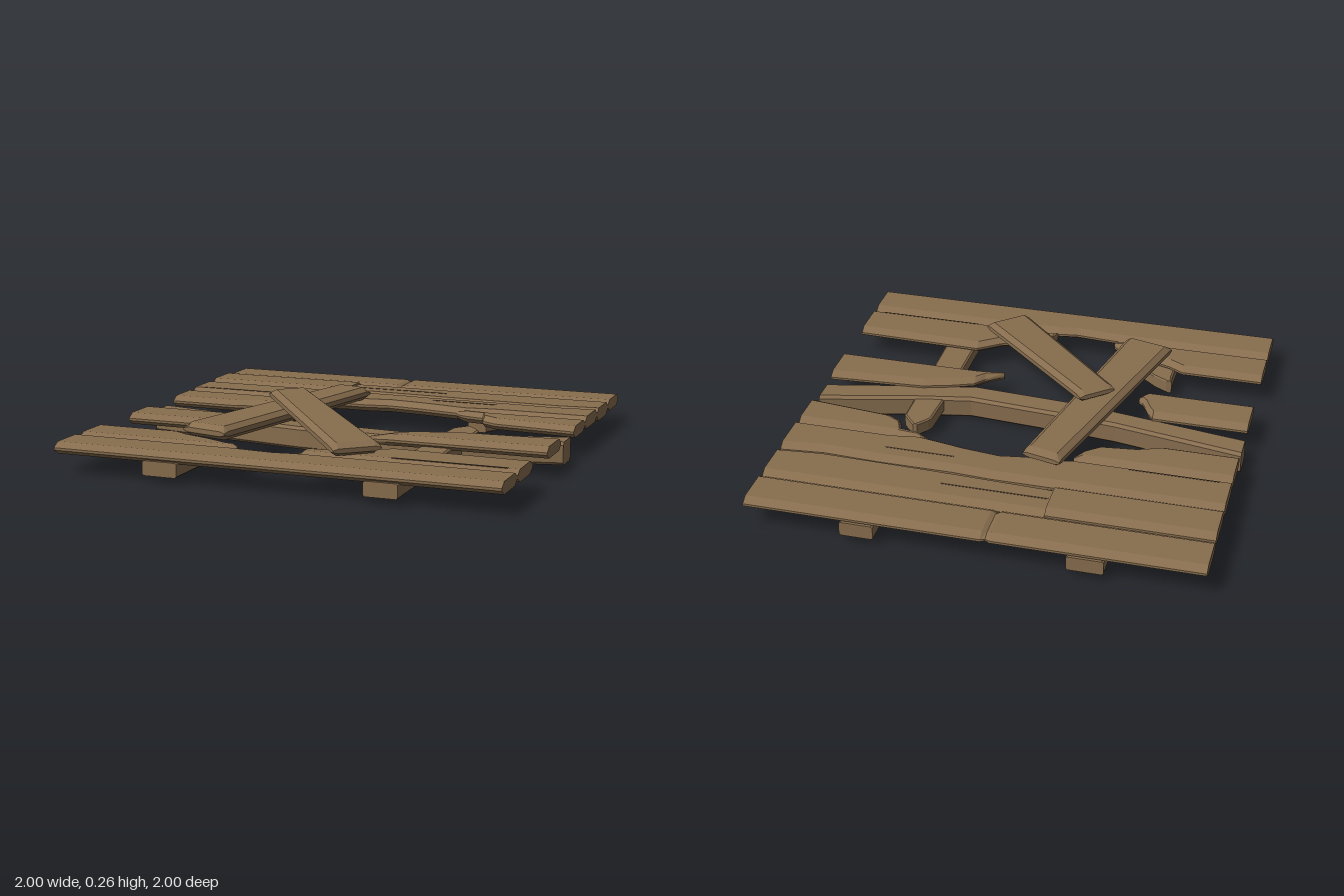
import * as THREE from 'three';

const wood = new THREE.MeshStandardMaterial({ color: 0x876d4e, flatShading: true });
wood.name = 'weathered wood';
const dark = new THREE.MeshStandardMaterial({ color: 0x54422e });
dark.name = 'dark wood crack';

// Bevelled timber along x. Each station is [x, zBack, zFront, thickness factor].
function timber(stations, y0, y1, bevel, rise) {
  const mid = (y0 + y1) / 2;
  const rings = stations.map(([x, z0, z1, f = 1]) => {
    const h = ((y1 - y0) / 2) * f;
    const c = Math.min(bevel, (z1 - z0) * 0.4);
    const s = h * (1 - rise);
    return [
      [x, mid - s, z0], [x, mid + s, z0], [x, mid + h, z0 + c], [x, mid + h, z1 - c],
      [x, mid + s, z1], [x, mid - s, z1], [x, mid - h, z1 - c], [x, mid - h, z0 + c],
    ];
  });
  const pos = [];
  const tri = (a, b, c) => pos.push(...a, ...b, ...c);
  for (let i = 0; i < rings.length - 1; i++) {
    for (let k = 0; k < 8; k++) {
      const n = (k + 1) % 8;
      const [a, b, c, d] = [rings[i][k], rings[i][n], rings[i + 1][k], rings[i + 1][n]];
      tri(a, b, c);
      tri(b, d, c);
    }
  }
  const first = rings[0], last = rings[rings.length - 1];
  for (let k = 1; k < 7; k++) {
    tri(first[0], first[k + 1], first[k]);
    tri(last[0], last[k], last[k + 1]);
  }
  const g = new THREE.BufferGeometry();
  g.setAttribute('position', new THREE.Float32BufferAttribute(pos, 3));
  g.computeVertexNormals();
  return g;
}

export function createModel() {
  const model = new THREE.Group();
  model.name = 'brokenPlankFloor';
  const add = (name, geometry, material = wood) => {
    const m = new THREE.Mesh(geometry, material);
    m.name = name;
    model.add(m);
    return m;
  };
  const plank = (name, stations, y0 = 0.083, y1 = 0.137) =>
    add(name, timber(stations, y0, y1, 0.035, 0.8));

  // Back rows, mostly whole
  plank('backPlankLeft', [[-1, -1, -0.78], [-0.09, -1, -0.78], [-0.07, -0.99, -0.79, 0.7]]);
  plank('backPlankRight', [[-0.07, -0.99, -0.79, 0.7], [-0.05, -1, -0.78], [1, -1, -0.78]]);
  plank('secondPlankLeft', [[-1, -0.78, -0.56], [-0.27, -0.78, -0.56]], 0.092, 0.148);
  plank('secondPlankRight', [[-0.27, -0.78, -0.57], [0.3, -0.78, -0.55], [0.8, -0.78, -0.54],
    [1, -0.78, -0.56]], 0.075, 0.137);

  // Rows broken around the hole
  plank('thirdPlank', [[-1, -0.56, -0.33], [-0.3, -0.56, -0.33], [-0.2, -0.56, -0.35], [-0.09, -0.56, -0.35],
    [0.03, -0.56, -0.37], [0.2, -0.55, -0.35], [0.42, -0.55, -0.31], [0.55, -0.55, -0.33],
    [0.8, -0.54, -0.33], [1, -0.56, -0.33]], 0.083, 0.142);
  plank('fourthPlankLeft', [[-1, -0.33, -0.12], [-0.66, -0.33, -0.12], [-0.55, -0.33, -0.16],
    [-0.39, -0.33, -0.18], [-0.33, -0.33, -0.23], [-0.29, -0.33, -0.3, 0.6]]);
  plank('fourthPlankRight', [[0.39, -0.34, -0.31, 0.6], [0.44, -0.33, -0.28], [0.53, -0.33, -0.26],
    [0.55, -0.33, -0.2], [0.62, -0.33, -0.16], [1, -0.33, -0.12]]);
  plank('fifthPlankLeft', [[-1, 0.11, 0.33], [-0.56, 0.11, 0.33], [-0.54, 0.14, 0.33],
    [-0.51, 0.2, 0.33], [-0.49, 0.235, 0.29], [-0.47, 0.255, 0.265, 0.6]]);
  plank('fifthPlankRight', [[0.2, 0.32, 0.335, 0.6], [0.28, 0.26, 0.33], [0.32, 0.21, 0.33],
    [0.42, 0.17, 0.33], [0.55, 0.13, 0.33], [1, 0.1, 0.33]]);
  plank('sixthPlankLeft', [[-1, 0.56, 0.78], [-0.62, 0.56, 0.78], [-0.55, 0.6, 0.78], [-0.43, 0.64, 0.78],
    [-0.32, 0.69, 0.78], [-0.28, 0.7, 0.775], [-0.25, 0.735, 0.755, 0.6]]);
  plank('sixthPlankRight', [[0.045, 0.75, 0.78, 0.6], [0.06, 0.67, 0.78], [0.17, 0.66, 0.78],
    [0.29, 0.62, 0.78], [0.4, 0.54, 0.78], [1, 0.555, 0.78]]);
  plank('frontPlank', [[-1, 0.78, 1], [-0.25, 0.78, 1], [-0.05, 0.795, 1], [0.05, 0.78, 1], [1, 0.78, 1]]);

  // Sagging cross beam, cracked and bent toward the front
  add('bentBeam', timber([[-1, -0.07, 0.06], [-0.4, 0.035, 0.155], [-0.2, 0.055, 0.185], [0.3, 0.09, 0.215],
    [0.55, 0.04, 0.165], [1, -0.07, 0.06]], 0, 0.105, 0.015, 0.25));

  // Snapped joists under the planks: x centre, then stations along z
  const joist = (name, x, stations) => {
    const g = timber(stations, 0.03, 0.095, 0.008, 0.2);
    g.rotateY(-Math.PI / 2);
    add(name, g).position.x = x;
  };
  joist('rightFrontJoist', 0.495, [[-0.17, -0.01, 0.01], [-0.12, -0.055, 0.05], [-0.1, -0.07, 0.06],
    [0.1, -0.07, 0.07], [1, -0.075, 0.075]]);
  joist('rightBackJoist', 0.495, [[-1, -0.075, 0.075], [-0.42, -0.075, 0.075], [-0.34, -0.03, 0.06]]);
  joist('leftFrontJoist', -0.495, [[0.5, 0.06, 0.085], [0.54, -0.01, 0.08], [0.6, -0.08, 0.08], [1, -0.08, 0.08]]);
  joist('leftBackJoist', -0.495, [[-1, -0.08, 0.08], [-0.28, -0.08, 0.08], [-0.2, -0.05, 0.03]]);

  // Loose planks lying across the hole, from the back end to the front end
  const loose = (name, from, to, w0, w1, t) => {
    const d = new THREE.Vector3().subVectors(to, from);
    const half = d.length() / 2;
    const e = 0.03;
    const m = add(name, timber([[-half, -w0, w0, 0.35], [-half + e, -w0, w0],
      [half - e, -w1, w1], [half, -w1, w1, 0.35]], -t / 2, t / 2, 0.025, 0.65));
    m.position.addVectors(from, to).multiplyScalar(0.5);
    m.rotation.order = 'YZX';
    m.rotation.y = -Math.atan2(d.z, d.x);
    m.rotation.z = Math.atan2(d.y, Math.hypot(d.x, d.z));
  };
  loose('flatLoosePlank', new THREE.Vector3(-0.165, 0.168, -0.42), new THREE.Vector3(-0.435, 0.168, 0.695),
    0.09, 0.115, 0.062);
  loose('leaningLoosePlank', new THREE.Vector3(-0.31, 0.236, 0.065), new THREE.Vector3(0.305, 0.162, 0.76),
    0.09, 0.108, 0.058);

  // Thin cracks in the grain: x, y, z, length, width
  for (const [x, y, z, l, w] of [
    [-0.02, 0.137, -0.67, 0.48, 0.007], [0.38, 0.142, -0.46, 0.32, 0.006],
    [-0.75, 0.142, -0.37, 0.4, 0.005], [0.7, 0.137, 0.745, 0.5, 0.005],
  ]) {
    add('grainCrack', new THREE.BoxGeometry(l, 0.003, w), dark).position.set(x, y, z);
  }
  return model;
}
